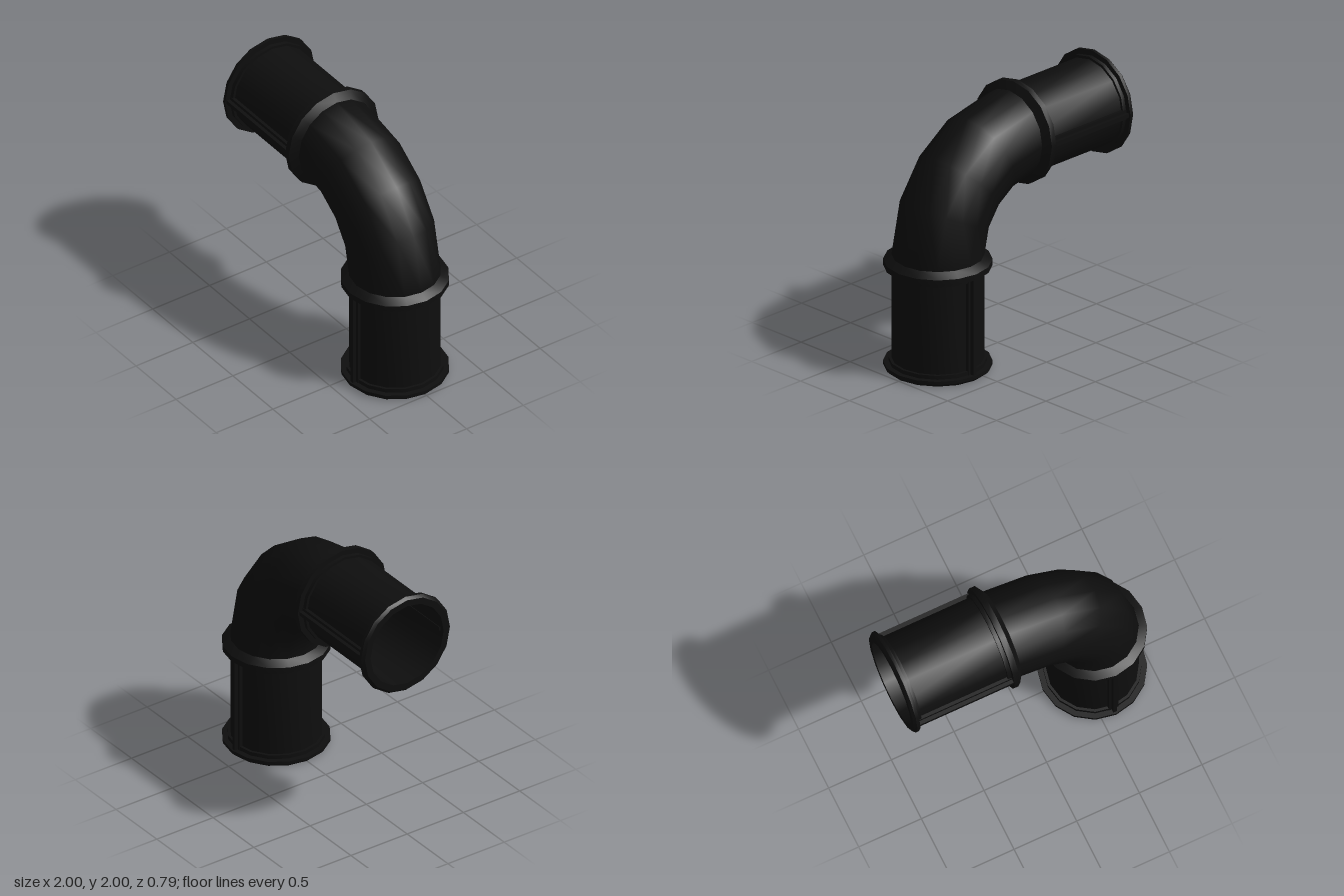
import * as THREE from 'three';
import { toCreasedNormals } from 'three/addons/utils/BufferGeometryUtils.js';

const SIDES = 16;
const AXIS = 0.605;   // distance of each socket axis from the centre of its direction
const LENGTH = 0.87;  // socket length including the tapered collar
const RADIUS = 0.335;

export function createModel() {
  const model = new THREE.Group();
  const blackPlastic = new THREE.MeshStandardMaterial({ color: 0x0e0e0e, side: THREE.DoubleSide });

  const add = (parent, name, geometry) => {
    const mesh = new THREE.Mesh(geometry, blackPlastic);
    blackPlastic.name = 'blackPlastic';
    mesh.name = name;
    parent.add(mesh);
    return mesh;
  };

  // Socket wall with end flange, inner steps and tapered collar, running up from y = 0
  const profile = [
    [0.325, LENGTH], [0.325, 0], [0.375, 0], [0.395, 0.02], [0.395, 0.045],
    [0.355, 0.045], [0.355, 0.075], [RADIUS, 0.075], [RADIUS, 0.765],
    [0.355, 0.765], [0.355, 0.795], [0.395, 0.795], [0.395, 0.84], [RADIUS, 0.88],
  ].map(([r, y]) => new THREE.Vector2(r, y));
  const wall = toCreasedNormals(new THREE.LatheGeometry(profile, SIDES), 0.5);

  const makeSocket = (name) => {
    const socket = new THREE.Group();
    socket.name = name;
    add(socket, 'socketWall', wall);
    // Seam ribs on the front and back of the socket
    for (const side of [1, -1]) {
      for (const [part, width, inner, outer] of [
        ['ribBase', 0.075, 0.318, 0.352],
        ['ribRidge', 0.03, 0.312, 0.38],
      ]) {
        const rib = add(socket, part, new THREE.BoxGeometry(width, 0.765, outer - inner));
        rib.position.set(0, 0.42, side * (inner + outer) / 2);
      }
    }
    model.add(socket);
    return socket;
  };

  makeSocket('verticalSocket').position.set(AXIS, 0, 0);
  const horizontal = makeSocket('horizontalSocket');
  horizontal.position.set(-1, 1 + AXIS, 0);
  horizontal.rotation.z = -Math.PI / 2;

  // Quarter-turn elbow, with its middle rings drawn slightly together
  const bend = new THREE.TorusGeometry(1 + AXIS - LENGTH, RADIUS, SIDES, 4, Math.PI / 2);
  const p = bend.attributes.position;
  const n = bend.attributes.normal;
  const v = new THREE.Vector3();
  const zAxis = new THREE.Vector3(0, 0, 1);
  for (let i = 0; i < p.count; i++) {
    const shift = 0.033 * Math.sin(4 * Math.atan2(p.getY(i), p.getX(i)));
    for (const attribute of [p, n]) {
      v.fromBufferAttribute(attribute, i).applyAxisAngle(zAxis, shift);
      attribute.setXYZ(i, v.x, v.y, v.z);
    }
  }
  add(model, 'elbow', bend).position.set(LENGTH - 1, LENGTH, 0);

  return model;
}
